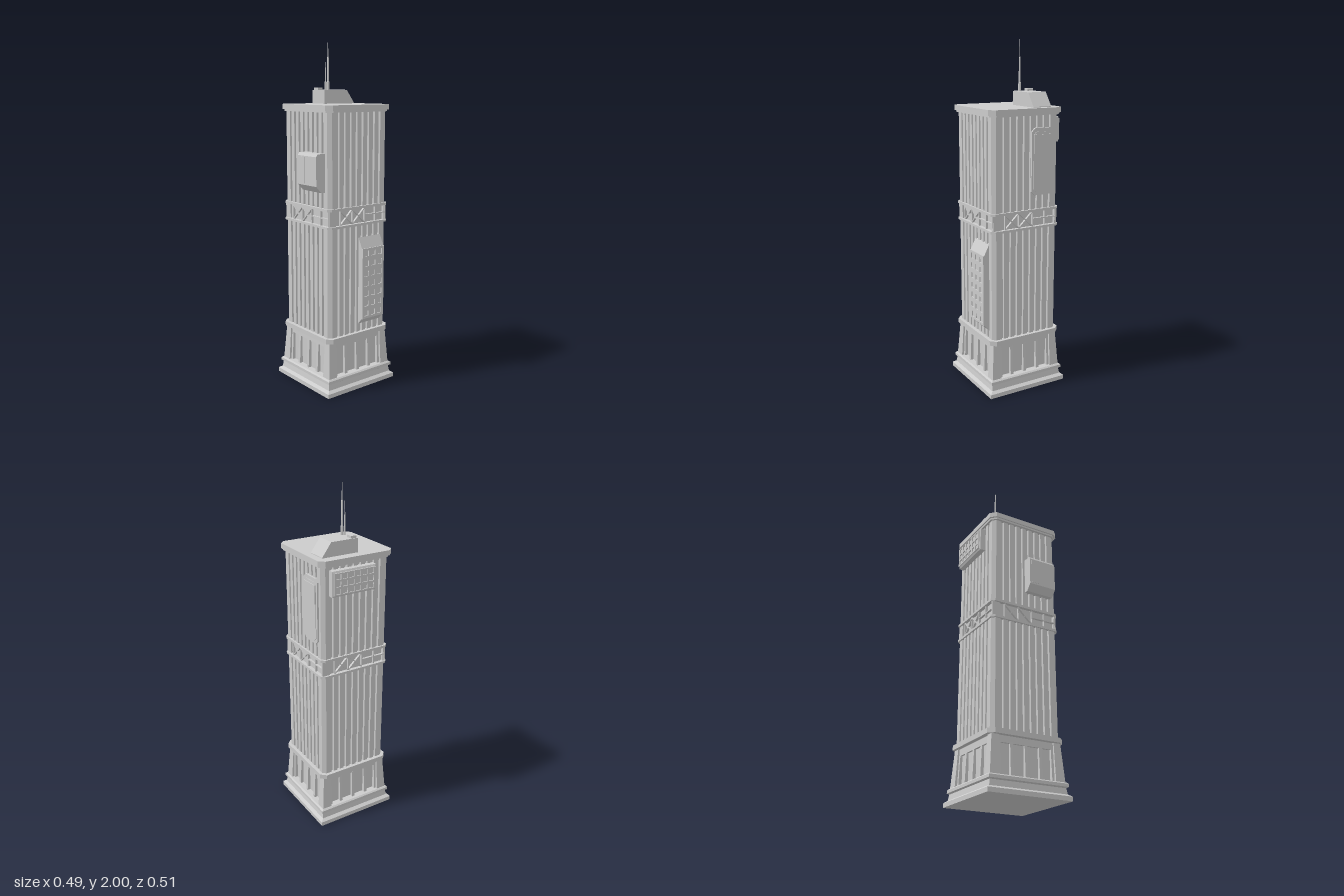
import * as THREE from 'three';

const mat = new THREE.MeshStandardMaterial({ color: 0xcccccc, flatShading: true });

function add(parent, name, geometry) {
  const mesh = new THREE.Mesh(geometry, mat);
  mesh.name = name;
  parent.add(mesh);
  return mesh;
}

function box(parent, name, x0, x1, y0, y1, z0, z1) {
  const g = new THREE.BoxGeometry(x1 - x0, y1 - y0, z1 - z0);
  return add(parent, name, g.translate((x0 + x1) / 2, (y0 + y1) / 2, (z0 + z1) / 2));
}

// Solid through rectangular sections [z, x0, x1, y0, y1], ordered along +z
function loft(sections) {
  const pos = [], index = [];
  for (const [z, x0, x1, y0, y1] of sections) pos.push(x0, y0, z, x1, y0, z, x1, y1, z, x0, y1, z);
  for (let i = 0; i < sections.length - 1; i++) {
    for (let j = 0; j < 4; j++) {
      const a = i * 4 + j, b = i * 4 + (j + 1) % 4;
      index.push(a, b, b + 4, a, b + 4, a + 4);
    }
  }
  const e = (sections.length - 1) * 4;
  index.push(0, 2, 1, 0, 3, 2, e, e + 1, e + 2, e, e + 2, e + 3);
  const g = new THREE.BufferGeometry();
  g.setAttribute('position', new THREE.Float32BufferAttribute(pos, 3));
  g.setIndex(index);
  const flat = g.toNonIndexed();
  flat.computeVertexNormals();
  return flat;
}

// Same, stacked upward: sections [y, x0, x1, -z1, -z0]
const stack = (sections) => loft(sections).rotateX(-Math.PI / 2);
const square = (y, h) => [y, -h, h, -h, h];

function extrude(points, depth) {
  const shape = points instanceof THREE.Shape ? points : new THREE.Shape(points.map(p => new THREE.Vector2(...p)));
  return new THREE.ExtrudeGeometry(shape, { depth, bevelEnabled: false });
}

// Rectangle outline with cut corners
const cutRect = (x0, x1, y0, y1, c) => [
  [x0 + c, y0], [x1 - c, y0], [x1, y0 + c], [x1, y1 - c],
  [x1 - c, y1], [x0 + c, y1], [x0, y1 - c], [x0, y0 + c]];

function slab(parent, name, half, cut, y0, y1) {
  add(parent, name, extrude(cutRect(-half, half, -half, half, cut), y1 - y0).rotateX(-Math.PI / 2).translate(0, y0, 0));
}

// Square outline with vertical grooves on all four sides and cut corners
function flutedOutline(half, cut, panels, depth) {
  const side = [], run = half - cut, pitch = 2 * run / panels;
  for (let i = 0; i < panels; i++) {
    const x = -run + i * pitch;
    side.push([x + (i ? 0.008 : 0), -half], [x + pitch - (i < panels - 1 ? 0.008 : 0), -half]);
    if (i < panels - 1) side.push([x + pitch - 0.005, -half + depth], [x + pitch + 0.005, -half + depth]);
  }
  const out = [];
  for (let k = 0; k < 4; k++) {
    const c = [1, 0, -1, 0][k], s = [0, 1, 0, -1][k];
    for (const [x, y] of side) out.push([c * x - s * y, s * x + c * y]);
  }
  return out;
}

// Pierced plate in front of a pod
function windowPlate(parent, x0, x1, y0, y1, cols, rows, w, h, z) {
  const shape = new THREE.Shape([[x0, y0], [x1, y0], [x1, y1], [x0, y1]].map(p => new THREE.Vector2(...p)));
  const px = (x1 - x0) / (cols + 0.25), py = (y1 - y0) / rows;
  for (let i = 0; i < cols; i++) {
    for (let j = 0; j < rows; j++) {
      const cx = (x0 + x1) / 2 + (i - (cols - 1) / 2) * px, cy = y0 + (j + 0.5) * py;
      shape.holes.push(new THREE.Path([[-1, -1], [-1, 1], [1, 1], [1, -1]]
        .map(([a, b]) => new THREE.Vector2(cx + a * w / 2, cy + b * h / 2))));
    }
  }
  add(parent, 'windowGrid', extrude(shape, 0.006).translate(0, 0, z));
}

// Flat bar of the truss between two points
function bar(parent, x0, y0, x1, y1, w = 0.006) {
  const dx = x1 - x0, dy = y1 - y0;
  const g = new THREE.BoxGeometry(Math.hypot(dx, dy), w, 0.016);
  add(parent, 'trussBar', g.rotateZ(Math.atan2(dy, dx)).translate((x0 + x1) / 2, (y0 + y1) / 2, 0.2));
}

function sideGroup(parent, name, quarterTurns) {
  const g = new THREE.Group();
  g.name = name;
  g.rotation.y = quarterTurns * Math.PI / 2;
  parent.add(g);
  return g;
}

export function createModel() {
  const model = new THREE.Group();
  model.name = 'tower';
  const body = new THREE.Group();
  body.name = 'body';
  body.position.z = -0.01;
  model.add(body);

  // Plinth and base core
  add(body, 'plinth', stack([square(0, 0.247), square(0.024, 0.247), square(0.03, 0.238), square(0.036, 0.229),
    square(0.068, 0.224), square(0.074, 0.234), square(0.09, 0.234), square(0.097, 0.226)]));
  add(body, 'baseCore', stack([square(0.09, 0.188), square(0.31, 0.188)]));
  add(body, 'baseLintel', stack([square(0.265, 0.2), square(0.305, 0.199)]));

  // Fluted shafts, cornices and belts
  for (const [y0, y1] of [[0.325, 0.955], [1.055, 1.585]]) {
    add(body, 'flutedShaft', extrude(flutedOutline(0.207, 0.019, 9, 0.011), y1 - y0)
      .rotateX(-Math.PI / 2).translate(0, y0, 0));
  }
  slab(body, 'lowerCornice', 0.226, 0.03, 0.302, 0.329);
  slab(body, 'lowerBelt', 0.216, 0.02, 0.95, 0.963);
  slab(body, 'beltCore', 0.195, 0.012, 0.955, 1.055);
  slab(body, 'upperBelt', 0.216, 0.02, 1.047, 1.061);
  slab(body, 'roofTrim', 0.22, 0.03, 1.578, 1.59);
  slab(body, 'roof', 0.228, 0.03, 1.588, 1.617);

  // Repeated details on the four sides
  for (let k = 0; k < 4; k++) {
    const side = sideGroup(body, 'sideDetail', k);
    add(side, 'cornerPier', stack([[0.095, 0.165, 0.222, -0.222, -0.165], [0.304, 0.165, 0.207, -0.207, -0.165]]));
    for (const m of [-0.16, -0.086, 0, 0.086, 0.16]) {
      add(side, 'mullion', stack([[0.095, m - 0.009, m + 0.009, -0.208, -0.18], [0.27, m - 0.009, m + 0.009, -0.2, -0.18]]));
    }
    box(side, 'trussEndPanel', -0.205, -0.16, 0.96, 1.05, 0.19, 0.205);
    for (const x of [-0.13, -0.043, 0.045, 0.125, 0.196]) bar(side, x, 0.96, x, 1.05);
    for (const [a, b] of [[-0.13, -0.043], [-0.043, 0.045]]) {
      bar(side, a, 0.963, b, 1.047);
      bar(side, a, 1.047, b, 0.963);
    }
    bar(side, 0.045, 1.005, 0.196, 1.005);
  }

  // Front bay
  const front = sideGroup(body, 'frontBay', 0);
  add(front, 'bay', loft([[0.19, 0, 0.167, 1.15, 1.36], [0.232, 0, 0.167, 1.15, 1.36],
    [0.255, 0, 0.167, 1.175, 1.36], [0.265, 0, 0.167, 1.186, 1.345]]));
  box(front, 'bayPanel', 0.012, 0.065, 1.195, 1.338, 0.26, 0.267);

  // Tall window bay on the left side
  const left = sideGroup(body, 'leftBay', 1);
  add(left, 'bay', loft([[0.19, 0, 0.16, 0.37, 0.89], [0.207, 0, 0.16, 0.375, 0.88], [0.238, 0, 0.16, 0.41, 0.82]]));
  windowPlate(left, 0, 0.16, 0.41, 0.82, 3, 7, 0.03, 0.031, 0.238);

  // Flat panel on the back
  const back = sideGroup(body, 'backPanel', 2);
  add(back, 'panel', extrude(cutRect(0.03, 0.17, 1.14, 1.51, 0.02), 0.02).translate(0, 0, 0.197));
  add(back, 'panelFace', extrude(cutRect(0.042, 0.158, 1.16, 1.49, 0.015), 0.005).translate(0, 0, 0.215));
  box(back, 'panelUpper', 0.042, 0.158, 1.37, 1.475, 0.21, 0.224);

  // Wide window bay on the right side
  const right = sideGroup(body, 'rightBay', 3);
  add(right, 'bay', loft([[0.19, -0.165, 0.105, 1.42, 1.56], [0.236, -0.165, 0.105, 1.42, 1.56],
    [0.241, -0.157, 0.097, 1.43, 1.55]]));
  windowPlate(right, -0.157, 0.097, 1.43, 1.55, 6, 3, 0.03, 0.028, 0.241);

  // Rooftop hut with sloping back
  const hut = [[0.195, 1.61], [0.195, 1.62], [0.14, 1.695], [-0.024, 1.695], [-0.024, 1.61]];
  add(model, 'roofHut', extrude(hut, 0.114).rotateY(Math.PI / 2).translate(-0.172, 0, 0));
  box(model, 'roofVent', -0.167, -0.13, 1.69, 1.708, -0.018, 0.015);

  // Antennas: stepped masts
  const mast = (name, x, z, r, top) => {
    const h = top - 1.69;
    const profile = [[0, 0], [r, 0], [r, 0.05], [r * 0.75, 0.055], [r * 0.6, h * 0.6], [r * 0.35, h * 0.62], [0, h]];
    const g = new THREE.LatheGeometry(profile.map(p => new THREE.Vector2(...p)), 8);
    add(model, name, g.translate(x, 1.69, z));
  };
  mast('tallAntenna', -0.078, -0.017, 0.008, 2);
  mast('shortAntenna', -0.086, -0.005, 0.0045, 1.9);
  return model;
}
